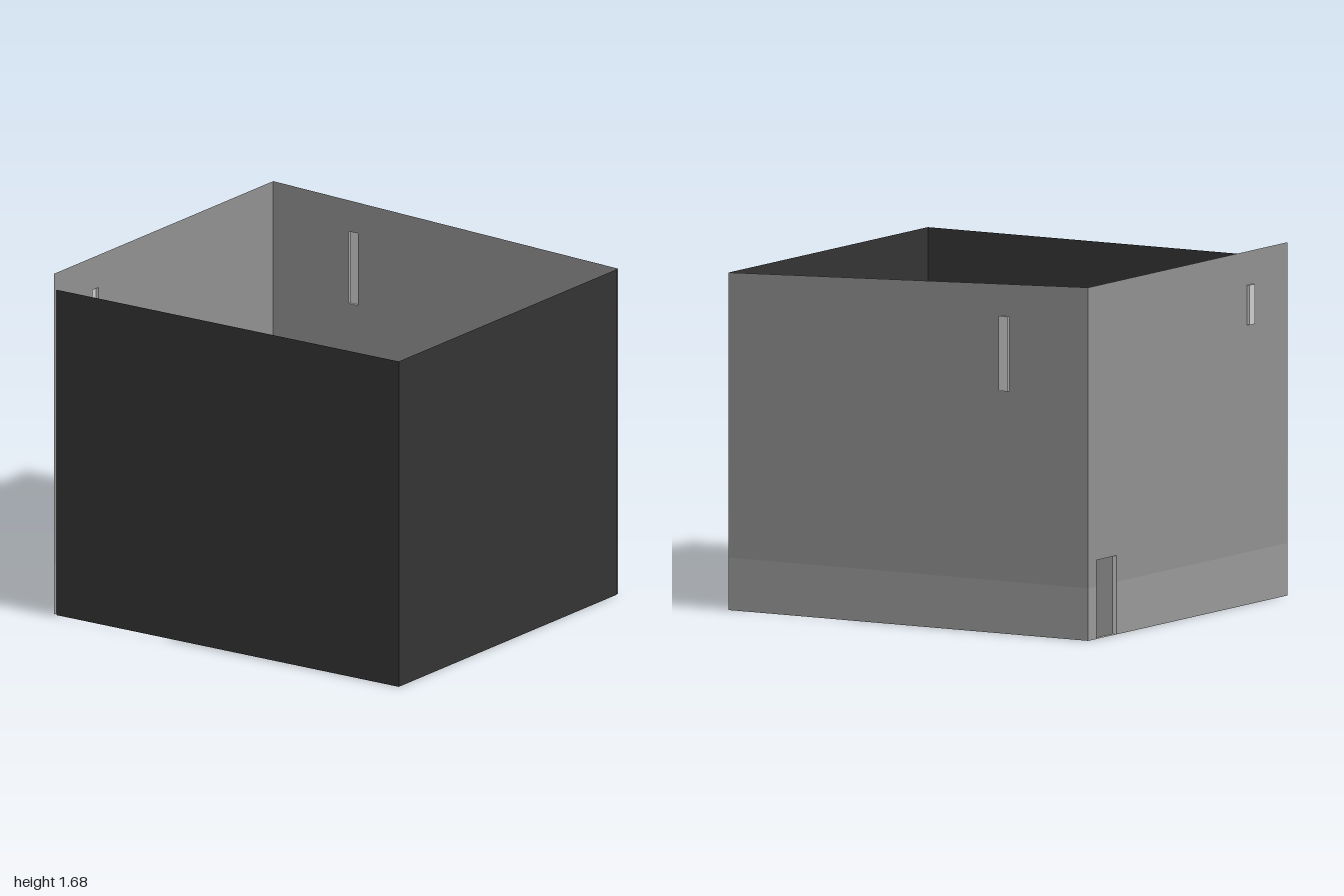
import * as THREE from 'three';

const mat = (color) => new THREE.MeshStandardMaterial({ color, side: THREE.DoubleSide });

// Flat panel from an outline in (u, y), with rectangular holes [u0, y0, u1, y1]
function panel(name, points, material, holes = []) {
  const shape = new THREE.Shape(points.map(([u, y]) => new THREE.Vector2(u, y)));
  for (const [a, b, c, d] of holes) {
    shape.holes.push(new THREE.Path([[a, b], [a, d], [c, d], [c, b]].map(([u, y]) => new THREE.Vector2(u, y))));
  }
  const mesh = new THREE.Mesh(new THREE.ShapeGeometry(shape), material);
  mesh.name = name;
  return mesh;
}

// Shallow box around a wall hole, with the listed faces left open (4 = outside, 5 = inside)
function recess(name, [u0, y0, u1, y1], z0, z1, openFaces, material) {
  const geo = new THREE.BoxGeometry(u1 - u0, y1 - y0, z1 - z0);
  const index = Array.from(geo.index.array).filter((_, i) => !openFaces.includes(Math.floor(i / 6)));
  geo.setIndex(index);
  geo.clearGroups();
  geo.translate((u0 + u1) / 2, (y0 + y1) / 2, (z0 + z1) / 2);
  const mesh = new THREE.Mesh(geo, material);
  mesh.name = name;
  return mesh;
}

// Wall group: children are drawn facing +z, then turned to face outwards
function wall(name, angle, x, z, parts) {
  const group = new THREE.Group();
  group.name = name;
  group.rotation.y = angle;
  group.position.set(x, 0, z);
  group.add(...parts);
  return group;
}

const rect = (u0, y0, u1, y1) => [[u0, y0], [u1, y0], [u1, y1], [u0, y1]];

export function createModel() {
  const model = new THREE.Group();
  model.name = 'roomWalls';

  const dark = mat(0x333333);
  const plaster = mat(0x909090);
  const skirting = mat(0x989898);
  const light = mat(0xcccccc);
  const shade = mat(0x787878);

  const LOW = 1.605, HIGH = 1.68, BAND = 0.25;
  const LEFT = -0.905, RIGHT = 0.89, FRONT = 1, BACK = -0.987;

  // Plain dark walls
  model.add(wall('frontWall', 0, 0, FRONT, [panel('frontPanel', rect(LEFT, 0, 0.875, LOW), dark)]));
  model.add(wall('sideWallDark', -Math.PI / 2, LEFT, 0, [panel('sidePanel', rect(-0.972, 0, FRONT, LOW), dark)]));

  // Side wall with sloping top and a tall slot recess (u = -z)
  const slot = [0.5, 1.155, 0.55, 1.51];
  model.add(wall('sideWallLight', Math.PI / 2, RIGHT, 0, [
    panel('slopedPanel', [[-FRONT, BAND], [-BACK, BAND], [-BACK, HIGH], [-FRONT, LOW]], plaster, [slot]),
    panel('skirtingBand', rect(-FRONT, 0, -BACK, BAND), skirting),
    recess('tallSlot', slot, 0, 0.012, [5], light),
  ]));

  // Back wall with a small slot and a low alcove opening outwards (u = -x)
  const small = [0.54, 1.33, 0.59, 1.52];
  const alcove = [-0.815, 0, -0.635, 0.375];
  const [a0, , a1, aTop] = alcove;
  const alcoveBack = panel('alcoveBack', rect(...alcove), shade);
  alcoveBack.position.z = -0.021;
  model.add(wall('backWall', Math.PI, 0, BACK, [
    panel('backPanel', [[-RIGHT, BAND], [a0, BAND], [a0, aTop], [a1, aTop], [a1, BAND],
      [-LEFT, BAND], [-LEFT, HIGH], [-RIGHT, HIGH]], plaster, [small]),
    panel('skirtingBandShort', rect(-RIGHT, 0, a0, BAND), skirting),
    panel('skirtingBandLong', rect(a1, 0, -LEFT, BAND), skirting),
    recess('smallSlot', small, 0, 0.013, [5], light),
    recess('alcoveSides', alcove, -0.021, 0, [4, 5], light),
    alcoveBack,
  ]));

  return model;
}
